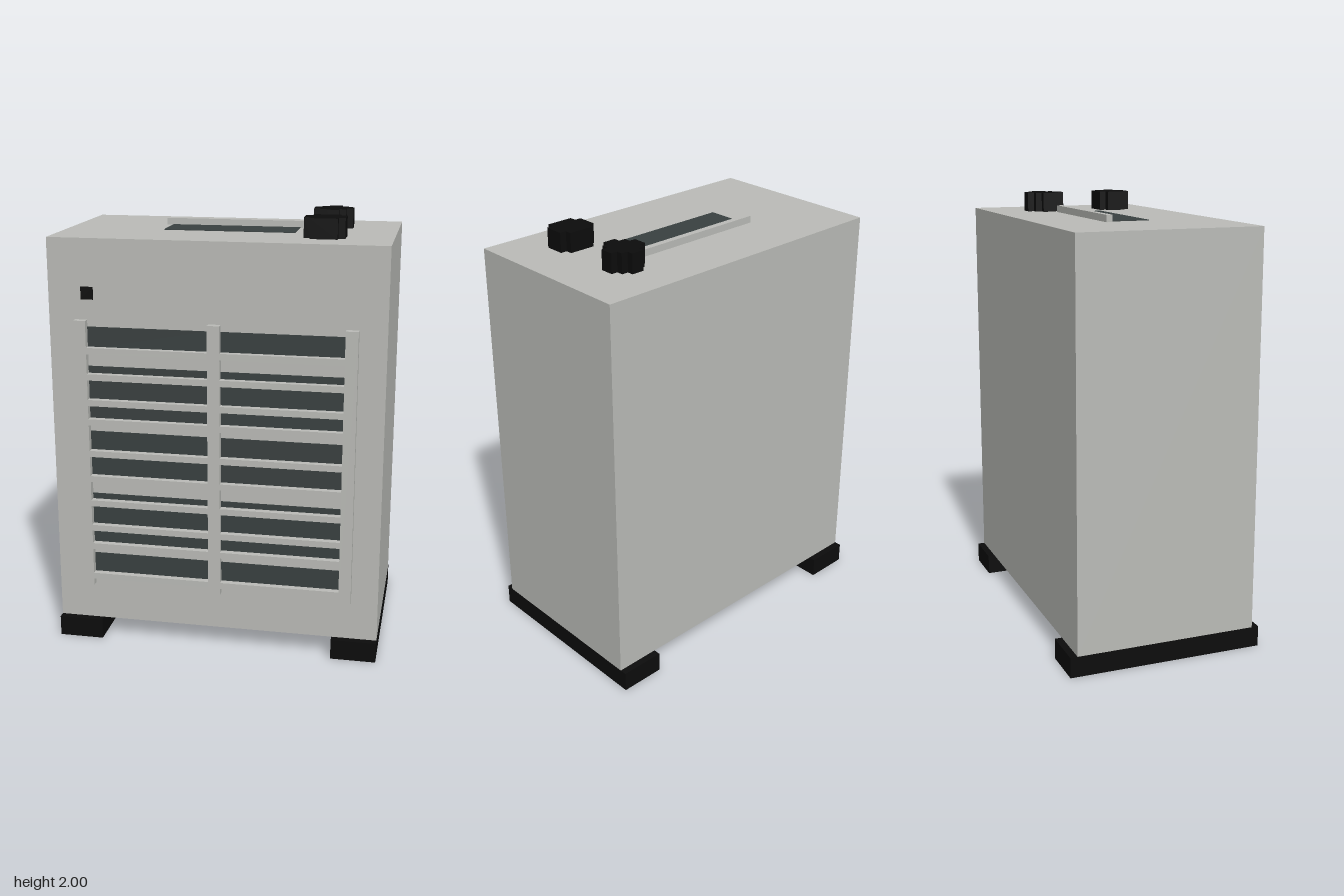
import * as THREE from 'three';

const mat = (name, color) => {
  const m = new THREE.MeshStandardMaterial({ color });
  m.name = name;
  return m;
};

export function createModel() {
  const model = new THREE.Group();
  model.name = 'ventilatedCabinet';
  const grey = mat('casingGrey', 0xbabbb7);
  const slate = mat('ventSlate', 0x394040);
  const black = mat('rubberBlack', 0x0c0c0c);

  // Box given by its minimum and maximum corners
  const box = (name, material, [x0, y0, z0], [x1, y1, z1], parent = model) => {
    const mesh = new THREE.Mesh(new THREE.BoxGeometry(x1 - x0, y1 - y0, z1 - z0), material);
    mesh.position.set((x0 + x1) / 2, (y0 + y1) / 2, (z0 + z1) / 2);
    mesh.name = name;
    parent.add(mesh);
    return mesh;
  };

  // Casing and the two long feet
  const TOP = 1.91, BASE = 0.095, FRONT = 0.422, GRILLE = 0.455;
  box('casing', grey, [-0.755, BASE, -FRONT], [0.755, TOP, FRONT]);
  box('rightFoot', black, [-0.755, 0, -0.455], [-0.547, BASE, 0.455]);
  box('leftFoot', black, [0.547, 0, -0.455], [0.755, BASE, 0.455]);

  // Front grille: uprights, slats and dark openings behind them
  const grille = new THREE.Group();
  grille.name = 'grille';
  model.add(grille);
  for (const x of [-0.607, 0, 0.605]) {
    box('grilleUpright', grey, [x - 0.028, 0.275, FRONT], [x + 0.028, 1.547, GRILLE], grille);
  }
  const slatTops = [1.425, 1.304, 1.184, 1.093, 0.942, 0.82, 0.701, 0.579, 0.487, 0.336];
  const openings = [[1.41, 1.516], [1.08, 1.336], [0.805, 1.03], [0.47, 0.728], [0.32, 0.429]];
  for (const [x0, x1] of [[-0.58, -0.028], [0.028, 0.578]]) {
    for (const y of slatTops) {
      box('grilleSlat', grey, [x0, y - 0.029, FRONT], [x1, y, GRILLE], grille);
    }
    for (const [y0, y1] of openings) {
      box('ventOpening', slate, [x0, y0, FRONT - 0.002], [x1, y1, FRONT + 0.003], grille);
    }
  }

  // Indicator on the front
  box('indicator', black, [-0.605, 1.638, FRONT - 0.002], [-0.548, 1.695, FRONT + 0.003]);

  // Top outlet with its raised rear lip
  box('topOutlet', slate, [-0.303, TOP - 0.002, -0.1], [0.303, TOP + 0.003, 0.09]);
  box('outletLip', grey, [-0.333, TOP, -0.125], [0.333, 1.942, -0.096]);

  // Stepped knobs: one quarter of the outline mirrored into four
  const knob = (name, z, quarter) => {
    const back = [...quarter].reverse();
    const outline = [
      ...quarter,
      ...back.map(([a, b]) => [-a, b]),
      ...quarter.map(([a, b]) => [-a, -b]),
      ...back.map(([a, b]) => [a, -b]),
    ];
    const shape = new THREE.Shape(outline.map(([a, b]) => new THREE.Vector2(a, b)));
    const geo = new THREE.ExtrudeGeometry(shape, { depth: 2 - TOP, bevelEnabled: false });
    geo.rotateX(-Math.PI / 2);
    const mesh = new THREE.Mesh(geo, black);
    mesh.position.set(0.453, TOP, z);
    mesh.name = name;
    model.add(mesh);
  };
  knob('frontKnob', 0.197, [[0.091, 0.045], [0.061, 0.045], [0.061, 0.076]]);
  knob('rearKnob', -0.153, [[0.091, 0.031], [0.061, 0.031], [0.061, 0.061], [0.03, 0.061], [0.03, 0.091]]);

  return model;
}
